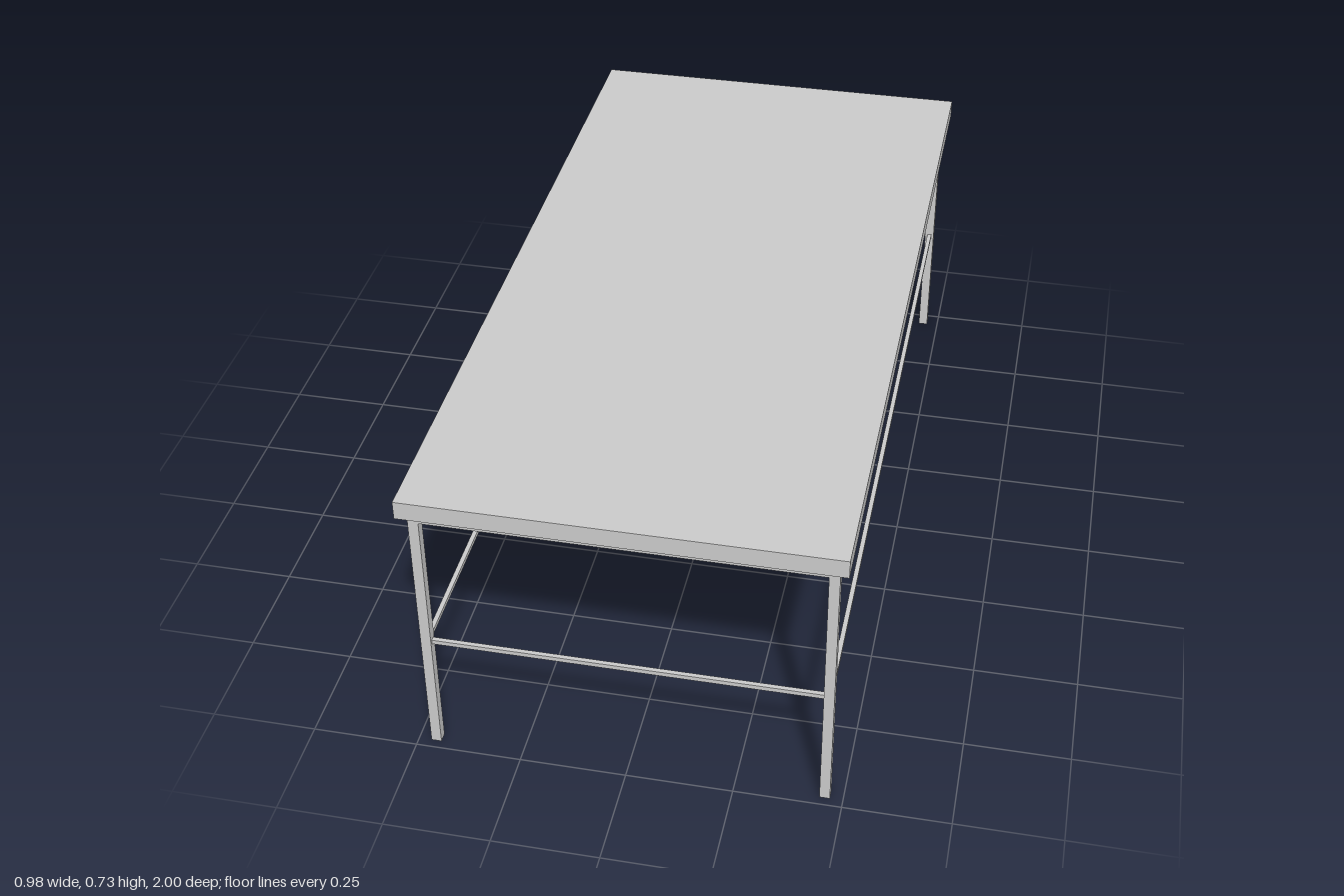
import * as THREE from 'three';

export function createModel() {
  const group = new THREE.Group();
  const material = new THREE.MeshStandardMaterial({ color: 0xcccccc, flatShading: true });

  const addBox = (name, size, position) => {
    const mesh = new THREE.Mesh(new THREE.BoxGeometry(...size), material);
    mesh.name = name;
    mesh.position.set(...position);
    group.add(mesh);
  };

  const tube = 0.024;      // square section of legs and top rails
  const rod = 0.011;       // square section of stretchers
  const frameTop = 0.685;  // underside of the slab
  const topY = 0.73;
  const legX = 0.458, legZ = 0.967; // leg centre lines
  const spanX = 2 * legX - tube, spanZ = 2 * legZ - tube;
  const railY = frameTop - tube / 2, stretcherY = 0.309;

  // Slab
  addBox('tabletop', [0.982, topY - frameTop, 2], [0, (topY + frameTop) / 2, 0]);

  for (const s of [-1, 1]) {
    // Legs
    for (const t of [-1, 1]) {
      addBox('leg', [tube, frameTop, tube], [s * legX, frameTop / 2, t * legZ]);
    }
    // Rails under the slab
    addBox('sideRail', [tube, tube, spanZ], [s * legX, railY, 0]);
    addBox('endRail', [spanX, tube, tube], [0, railY, s * legZ]);
    // Thin stretchers between the legs
    addBox('sideStretcher', [rod, rod, spanZ], [s * legX, stretcherY, 0]);
    addBox('endStretcher', [spanX, rod, rod], [0, stretcherY, s * legZ]);
  }
  return group;
}
